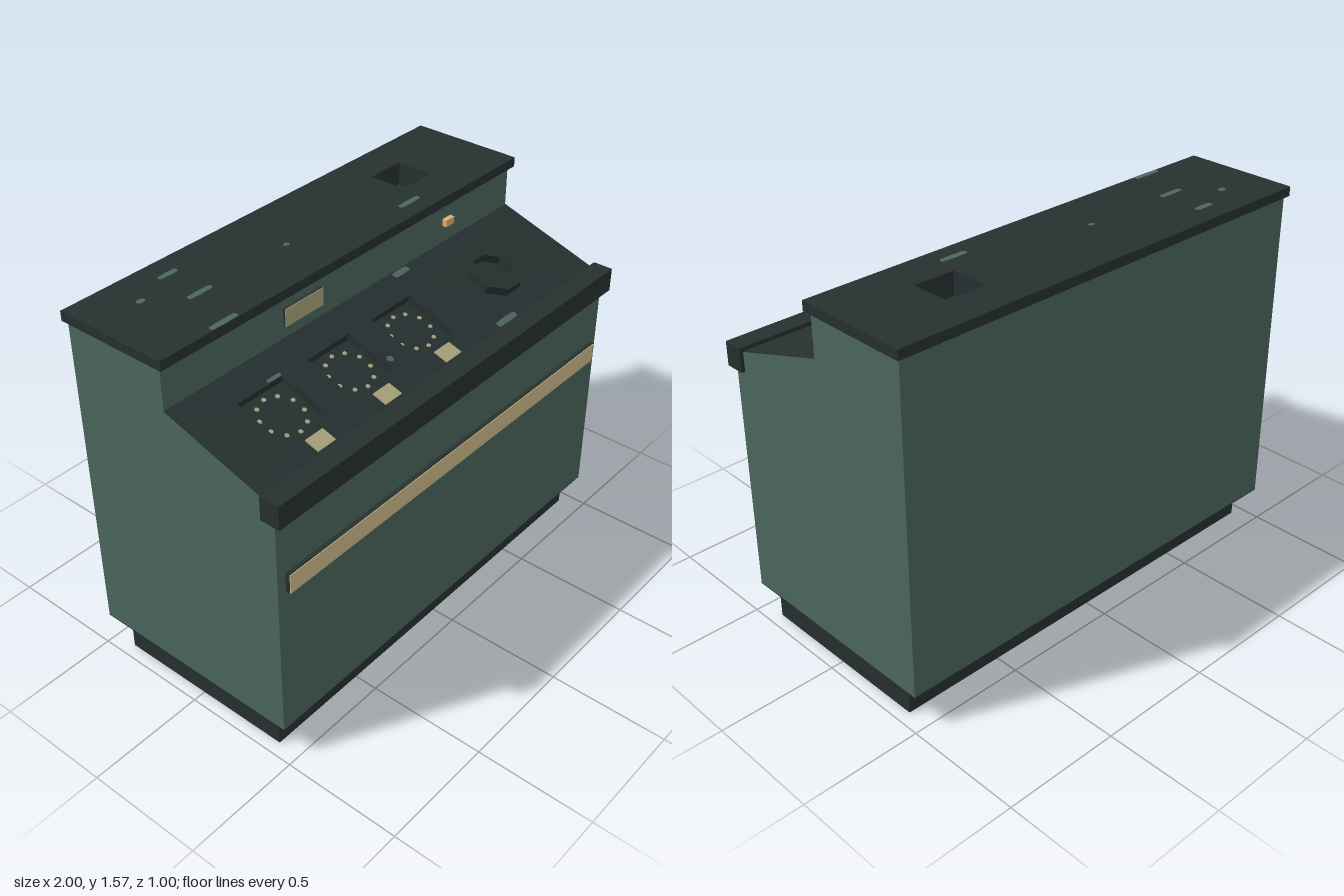
import * as THREE from 'three';

const mat = (name, color, side = THREE.FrontSide) => {
  const m = new THREE.MeshStandardMaterial({ color, side });
  m.name = name;
  return m;
};

export function createModel() {
  const green = mat('cabinet green', 0x4b665e);
  const dark = mat('dark trim', 0x25302f);
  const tan = mat('tan strip', 0xcdbb8a);
  const brass = mat('dull brass', 0xa9a27b);
  const amber = mat('amber', 0xdcb070);

  const root = new THREE.Group();
  root.name = 'console';
  const add = (parent, name, geo, material, x = 0, y = 0, z = 0) => {
    const m = new THREE.Mesh(geo, material);
    m.name = name;
    m.position.set(x, y, z);
    parent.add(m);
    return m;
  };
  // box given by its min and max on each axis
  const box = (parent, name, material, x0, x1, y0, y1, z0, z1) =>
    add(parent, name, new THREE.BoxGeometry(x1 - x0, y1 - y0, z1 - z0), material,
      (x0 + x1) / 2, (y0 + y1) / 2, (z0 + z1) / 2);
  // rectangle path in plan, z pointing down the plan
  const rect = (P, x0, x1, z0, z1) => {
    const p = new P();
    p.moveTo(x0, -z1); p.lineTo(x1, -z1); p.lineTo(x1, -z0); p.lineTo(x0, -z0);
    p.closePath();
    return p;
  };
  // horizontal slab with holes, rising from y = 0
  const slab = (shape, holes, depth) => {
    shape.holes.push(...holes);
    return new THREE.ExtrudeGeometry(shape, { depth, bevelEnabled: false }).rotateX(-Math.PI / 2);
  };
  // side profile (z, y) extruded along x
  const profile = (pts, x0, x1) =>
    new THREE.ExtrudeGeometry(new THREE.Shape(pts.map(([z, y]) => new THREE.Vector2(-z, y))),
      { depth: x1 - x0, bevelEnabled: false }).rotateY(Math.PI / 2).translate(x0, 0, 0);

  // Cabinet: core, full-height end cheeks, and a frame around the tray
  const theta = Math.atan(0.32), c = Math.cos(theta);
  const F = 0.465, B = -0.485, S = -0.03, W = 0.985, IN = 0.95, wellDepth = 0.035;
  const outline = (top, drop) => [[F, 0.15], [F, 1.196 - drop], [S, 1.354 - drop], [S, top], [B, top], [B, 0.15]];
  add(root, 'cabinetCore', profile(outline(1.47, wellDepth / c), -IN, IN), green);
  for (const s of [-1, 1])
    add(root, s < 0 ? 'rightCheek' : 'leftCheek',
      profile(outline(1.53, 0), s < 0 ? -W : IN, s < 0 ? -IN : W), green);
  const tray = [0.48, 0.66, -0.345, -0.175];
  add(root, 'trayFrame', slab(rect(THREE.Shape, -IN, IN, B, S), [rect(THREE.Path, ...tray)], 0.06), green, 0, 1.47);
  box(root, 'underside', dark, -W, W, 0.146, 0.15, B, F);

  // Hollow plinth
  for (const s of [-1, 1]) {
    box(root, 'plinthLong', dark, -0.945, 0.945, 0, 0.147, s * 0.395 - 0.005, s * 0.395 + 0.005);
    box(root, 'plinthEnd', dark, s * 0.94 - 0.005, s * 0.94 + 0.005, 0, 0.147, -0.39, 0.39);
  }

  // Top slab with sunken tray
  add(root, 'topSlab', slab(rect(THREE.Shape, -1, 1, -0.5, -0.008), [rect(THREE.Path, ...tray)], 0.04), dark, 0, 1.53);
  const [x0, x1, z0, z1] = tray, t = 0.003;
  box(root, 'trayFloor', dark, x0, x1, 1.47, 1.474, z0, z1);
  for (const [a, b, d, e] of [[x0, x0 + t, z0, z1], [x1 - t, x1, z0, z1], [x0, x1, z0, z0 + t], [x0, x1, z1 - t, z1]])
    box(root, 'trayLiner', dark, a, b, 1.472, 1.569, d, e);

  // Front rail and front strip
  box(root, 'frontRail', dark, -1, 1, 1.13, 1.23, 0.415, 0.5);
  box(root, 'frontStripBacking', dark, -0.945, 0.945, 0.805, 0.89, F, 0.483);
  box(root, 'frontStrip', tan, -0.943, 0.943, 0.807, 0.888, 0.483, 0.486);

  // Upright back board plates
  box(root, 'namePlateBacking', dark, -0.39, -0.185, 1.405, 1.48, S, -0.021);
  box(root, 'namePlate', brass, -0.389, -0.186, 1.406, 1.479, -0.021, -0.018);
  box(root, 'indicator', amber, 0.545, 0.595, 1.43, 1.46, S, -0.009);

  // Sloped desk: local z runs down the slope, y is its normal
  const desk = new THREE.Group();
  desk.name = 'slopedDesk';
  desk.position.set(0, 1.354, S);
  desk.rotation.x = theta;
  root.add(desk);
  const down = z => (z - S) / c;
  const wells = [-0.645, -0.285, 0.07], wc = down(0.2), h = 0.115;
  const holes = () => wells.map(x => rect(THREE.Path, x - h, x + h, wc - h, wc + h));
  add(desk, 'deskPanel', slab(rect(THREE.Shape, -IN, IN, 0, down(F)), holes(), wellDepth), dark, 0, -wellDepth);
  add(desk, 'deskSheet', slab(rect(THREE.Shape, -W, W, 0, down(F)), holes(), 0.002), dark);
  for (const x of wells) {
    box(desk, 'wellFloor', dark, x - h, x + h, -wellDepth, -0.031, wc - h, wc + h);
    for (let i = 0; i < 10; i++) {
      const a = i * Math.PI / 5;
      add(desk, 'dialMark', new THREE.CylinderGeometry(0.009, 0.009, 0.004, 8), brass,
        x + 0.09 * Math.sin(a), -0.029, wc - 0.09 * Math.cos(a));
    }
    box(desk, 'wellLabel', brass, x - 0.045, x + 0.045, 0.002, 0.007, down(0.335), down(0.395));
  }

  // Eight-sided ring
  const octagon = (P, apothem) => {
    const p = new P();
    p.setFromPoints(Array.from({ length: 8 }, (_, i) => {
      const a = (i + 0.5) * Math.PI / 4, r = apothem / Math.cos(Math.PI / 8);
      return new THREE.Vector2(r * Math.cos(a), r * Math.sin(a));
    }));
    p.closePath();
    return p;
  };
  add(desk, 'octagonRing', slab(octagon(THREE.Shape, 0.105), [octagon(THREE.Path, 0.083)], 0.037), dark, 0.565, 0, down(0.21));

  // Worn patches: thin rounded plates
  const patch = (parent, x, y, z, w, d = 0.026) => {
    const g = new THREE.CylinderGeometry(d / 2, d / 2, 0.003, 12);
    const p = g.attributes.position, k = Math.max(0, (w - d) / 2);
    for (let i = 0; i < p.count; i++) if (Math.abs(p.getX(i)) > 1e-5) p.setX(i, p.getX(i) + Math.sign(p.getX(i)) * k);
    add(parent, 'wornPatch', g, green, x, y, z);
  };
  for (const [x, z, w] of [[-0.59, -0.4, 0.09], [-0.78, -0.335, 0.035], [-0.605, -0.222, 0.115],
    [-0.155, -0.225, 0.026], [-0.69, -0.022, 0.13], [0.405, -0.09, 0.12]])
    patch(root, x, 1.5705, z, w, Math.min(0.026, w * 0.8));
  for (const [x, z, w] of [[-0.565, 0.08, 0.07], [-0.14, 0.26, 0.026], [0.415, 0.39, 0.12], [0.26, -0.012, 0.09]])
    patch(desk, x, 0.002, down(z), w, z === 0.08 ? 0.016 : 0.028);

  return root;
}
